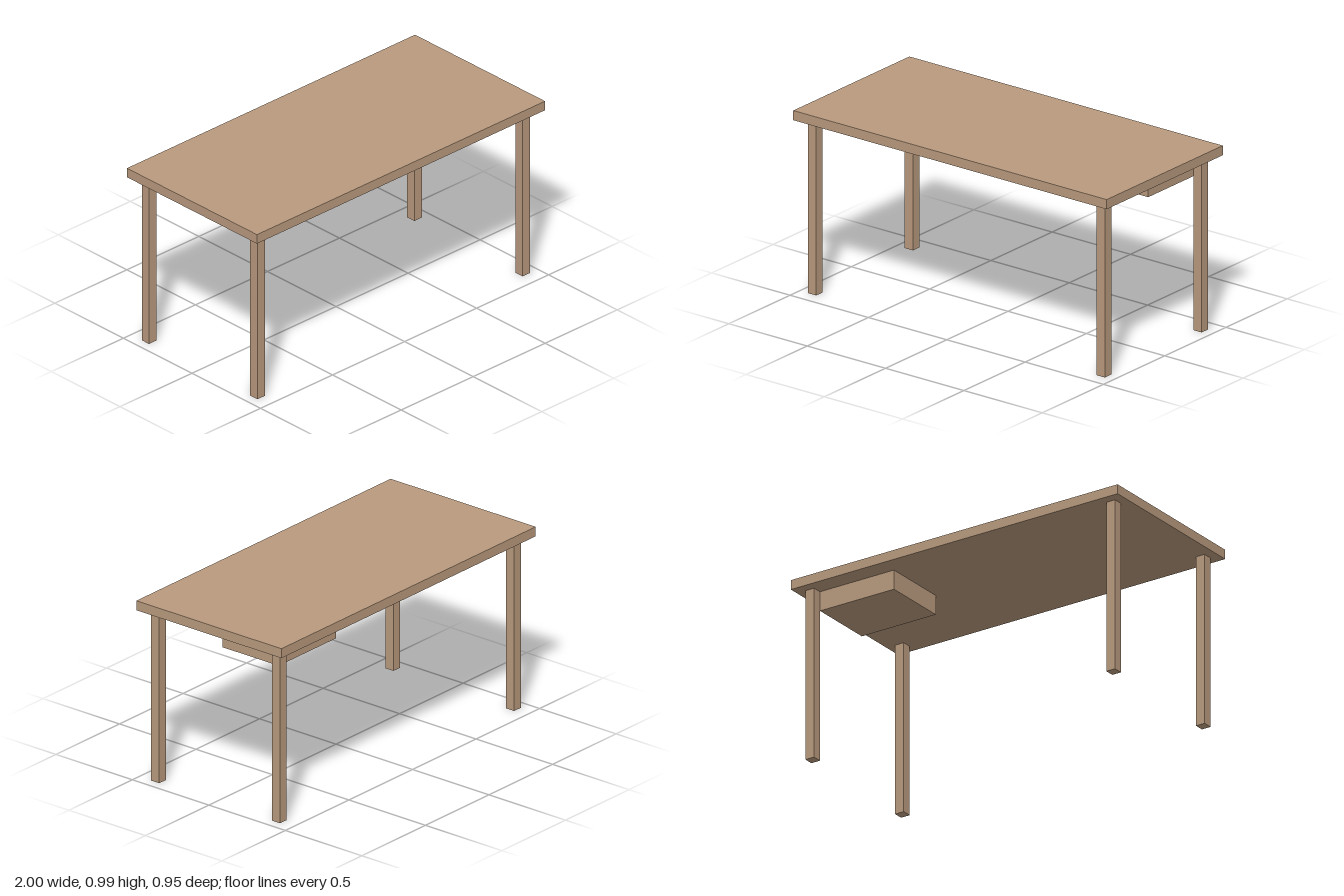
import * as THREE from 'three';

export function createModel() {
  const model = new THREE.Group();
  model.name = 'desk';
  const wood = new THREE.MeshStandardMaterial({ color: 0xb8997d });

  // Adds a box given its extent on each axis
  function addBox(name, [x0, x1], [y0, y1], [z0, z1]) {
    const mesh = new THREE.Mesh(new THREE.BoxGeometry(x1 - x0, y1 - y0, z1 - z0), wood);
    mesh.name = name;
    mesh.position.set((x0 + x1) / 2, (y0 + y1) / 2, (z0 + z1) / 2);
    model.add(mesh);
  }

  const underside = 0.937;
  const legX = 0.921, legZ = 0.395, legHalf = 0.0263;

  // Table top
  addBox('tableTop', [-1, 1], [underside, 0.989], [-0.474, 0.474]);

  // Four square legs, set in from the corners
  for (const [side, sx] of [['Left', 1], ['Right', -1]]) {
    for (const [end, sz] of [['front', 1], ['back', -1]]) {
      const x = sx * legX, z = sz * legZ;
      addBox(`${end}${side}Leg`, [x - legHalf, x + legHalf], [0, underside], [z - legHalf, z + legHalf]);
    }
  }

  // Drawer box hung under the top, tucked against the back left leg
  addBox('drawer', [0.442, legX - legHalf], [0.831, underside], [-legZ + legHalf, 0]);

  return model;
}
